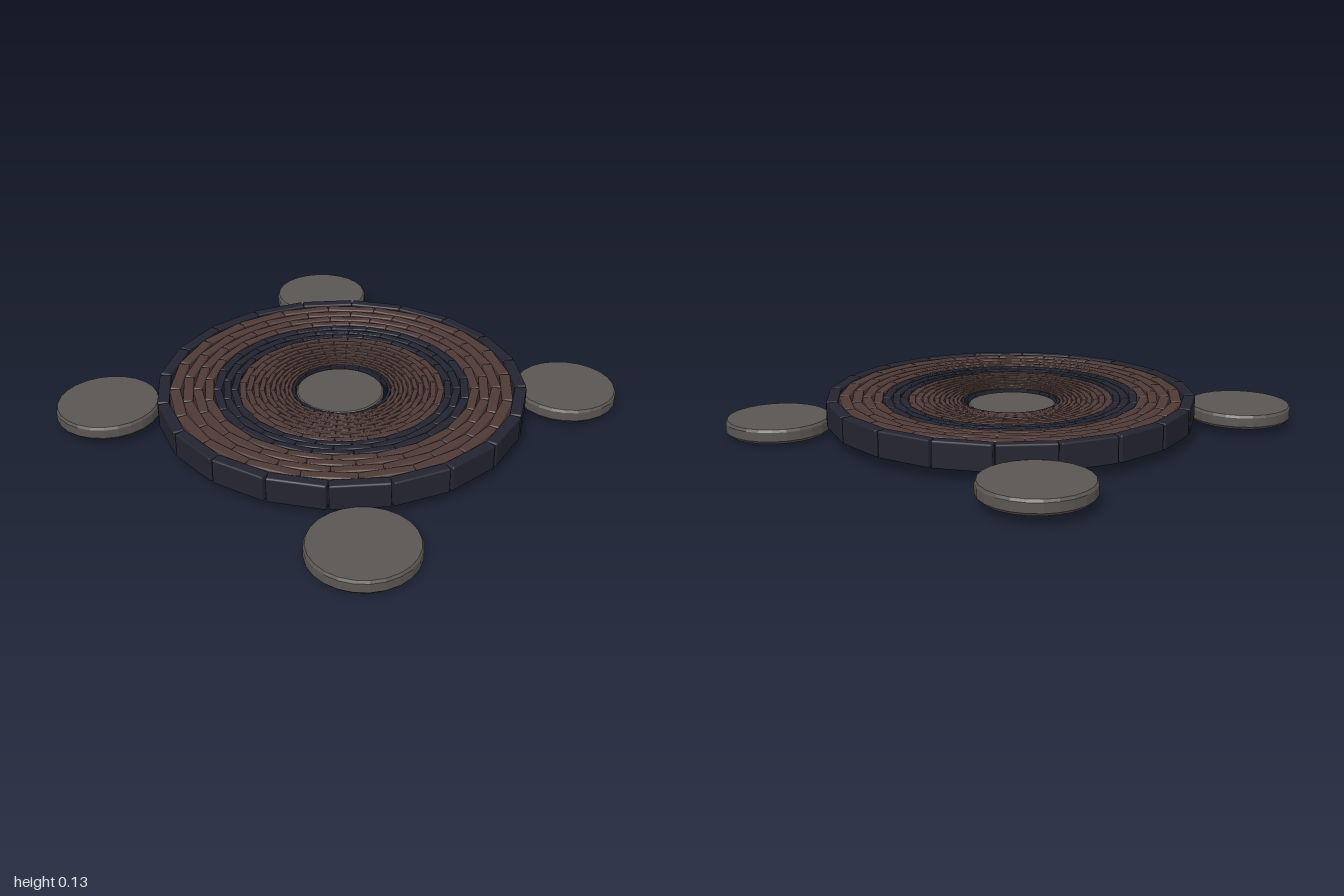
import * as THREE from 'three';
import { mergeGeometries } from 'three/addons/utils/BufferGeometryUtils.js';
import { RoundedBoxGeometry } from 'three/addons/geometries/RoundedBoxGeometry.js';

const stone = new THREE.MeshStandardMaterial({ color: 0x5a5653, side: THREE.DoubleSide, flatShading: true });
stone.name = 'grey stone';
const slate = new THREE.MeshStandardMaterial({ color: 0x23242f });
slate.name = 'dark slate';
const brick = new THREE.MeshStandardMaterial({ color: 0x4e3a36 });
brick.name = 'brown brick';

const BRICKS = 20;      // bricks in every ring
const RINGS = 19;       // rings from the rim to the centre
const SHRINK = 0.93;    // size of each ring relative to the one outside it
const MID_Y = 0.085;    // all rings are centred on this height

// One ring of straight blocks, alternate rings turned by half a block
function brickRing(index) {
  const s = SHRINK ** index;
  const block = new RoundedBoxGeometry(0.194 * s, 0.09 * s, 0.041 * s, 1, 0.006 * s);
  block.translate(0, 0, 0.6195 * s);
  const parts = [];
  for (let i = 0; i < BRICKS; i++) {
    const angle = ((i + (index % 2) / 2) / BRICKS) * Math.PI * 2;
    parts.push(block.clone().rotateY(angle));
  }
  const isDark = index === 0 || (index >= 5 && index <= 7) || index === RINGS - 1;
  const mesh = new THREE.Mesh(mergeGeometries(parts), isDark ? slate : brick);
  mesh.position.y = MID_Y;
  mesh.name = index === 0 ? 'rimRing' : isDark ? 'darkRing' + index : 'brickRing' + index;
  return mesh;
}

// Round stone cap, open underneath, with a bevelled top edge
function stoneCap(name, radius, height, x, y, z) {
  const profile = [[0.95, 0], [1, 0.2], [1, 0.82], [0.97, 1], [0, 1]]
    .map(([r, h]) => new THREE.Vector2(r * radius, h * height));
  const mesh = new THREE.Mesh(new THREE.LatheGeometry(profile, 24), stone);
  mesh.position.set(x, y, z);
  mesh.name = name;
  return mesh;
}

export function createModel() {
  const group = new THREE.Group();
  group.name = 'pavedCircle';

  const paving = new THREE.Group();
  paving.name = 'paving';
  for (let i = 0; i < RINGS; i++) paving.add(brickRing(i));
  group.add(paving);

  group.add(stoneCap('centreStone', 0.155, 0.02, -0.005, 0.069, -0.005));

  // Stepping stones, each at a slightly different height
  group.add(stoneCap('frontStone', 0.18, 0.05, -0.01, 0, 0.815));
  group.add(stoneCap('backStone', 0.18, 0.05, -0.01, 0.033, -0.818));
  group.add(stoneCap('leftStone', 0.18, 0.05, 0.813, 0.01, -0.012));
  group.add(stoneCap('rightStone', 0.18, 0.05, -0.82, 0.026, -0.022));
  return group;
}
